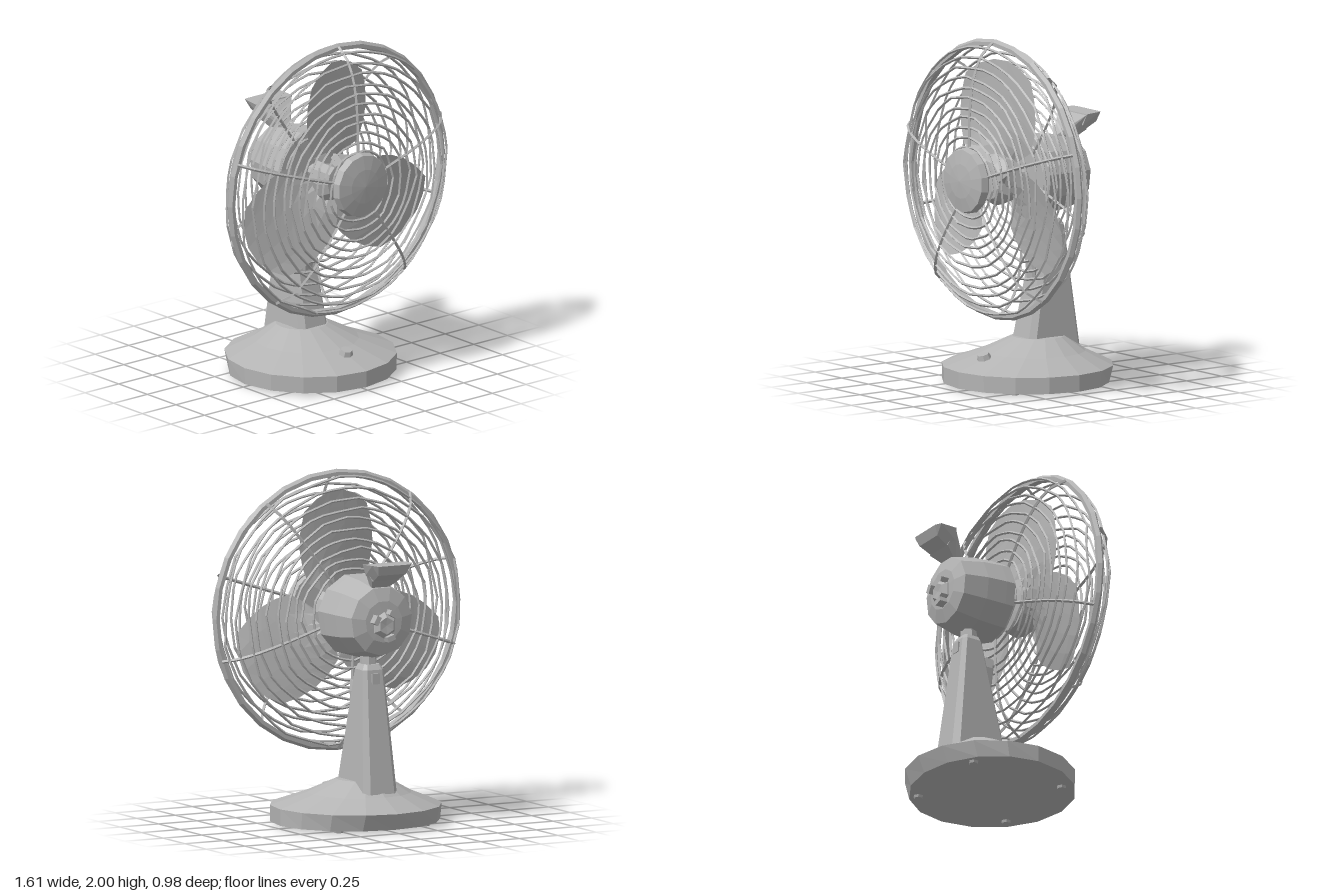
import * as THREE from 'three';
import { ConvexGeometry } from 'three/addons/geometries/ConvexGeometry.js';

const AXIS_Y = 1.19, CAGE_Z = 0.225;

export function createModel() {
  const model = new THREE.Group();
  model.name = 'deskFan';
  const grey = new THREE.MeshStandardMaterial({ color: 0xb4b4b4, flatShading: true, side: THREE.DoubleSide });
  grey.name = 'plain grey';

  let seed = 7;
  const jitter = (a) => {
    seed = (seed * 16807) % 2147483647;
    return (seed / 2147483647 - 0.5) * 2 * a;
  };
  const add = (name, geometry, x = 0, y = 0, z = 0, parent = model) => {
    const mesh = new THREE.Mesh(geometry, grey);
    mesh.name = name;
    mesh.position.set(x, y, z);
    parent.add(mesh);
    return mesh;
  };
  const lathe = (points, sides) => new THREE.LatheGeometry(points.map(([r, h]) => new THREE.Vector2(r, h)), sides);
  const latheZ = (points, sides) => lathe(points, sides).rotateX(Math.PI / 2);
  const v = (x, y, z) => new THREE.Vector3(x, y, z);

  // Convex solid through chamfered sections [y, halfWidth, zBack, zFront]
  const loft = (sections) => {
    const pts = [];
    for (const [y, w, zb, zf] of sections) {
      const c = 0.3 * w;
      for (const s of [-1, 1]) {
        pts.push(v(s * w, y, zb + c), v(s * w, y, zf - c), v(s * (w - c), y, zb), v(s * (w - c), y, zf));
      }
    }
    return new ConvexGeometry(pts);
  };

  // Base: faceted dish whose peak leans back, rim tucked under at the rear
  const base = lathe([[0, 0.015], [0.488, 0.015], [0.49, 0.11], [0.3, 0.185], [0.15, 0.265], [0, 0.27]], 16);
  const bp = base.attributes.position;
  for (let i = 0; i < bp.count; i++) {
    const y = bp.getY(i), z = bp.getZ(i);
    if (y > 0.15) bp.setZ(i, z - (y - 0.11) * 0.5);
    else if (y < 0.1 && z < 0) bp.setZ(i, z * 0.92);
  }
  add('base', base);
  for (const [x, z] of [[0.28, 0.3], [-0.28, 0.3], [0.28, -0.3], [-0.28, -0.3]]) {
    add('foot', new THREE.CylinderGeometry(0.03, 0.025, 0.018, 6), x, 0.009, z);
  }
  add('button', new THREE.CylinderGeometry(0.034, 0.044, 0.035, 7), 0, 0.18, 0.31).rotation.x = 0.3;

  // Neck, its front latch and the tilt joint
  add('neck', loft([[0.2, 0.11, -0.31, 0.06], [0.27, 0.1, -0.3, 0.045], [0.9, 0.068, -0.22, -0.09], [0.93, 0.05, -0.2, -0.1]]));
  add('neckLatch', loft([[0.59, 0.035, -0.06, -0.015], [0.76, 0.05, -0.1, 0.0], [0.82, 0.04, -0.09, 0.005]]));
  add('tiltScrew', new THREE.BoxGeometry(0.05, 0.06, 0.03), 0, 0.85, -0.22);
  add('tiltJoint', new THREE.CylinderGeometry(0.045, 0.05, 0.12, 7), 0, 0.96, -0.145);

  // Motor housing with rear knob
  add('motor', latheZ([[0, -0.33], [0.12, -0.325], [0.198, -0.3], [0.228, -0.16], [0.238, -0.04], [0.24, 0.015], [0, 0.02]], 11), 0, AXIS_Y, 0);
  add('rearKnob', latheZ([[0, -0.355], [0.05, -0.36], [0.075, -0.335], [0.08, -0.3]], 6), 0, 1.17, 0);
  for (const a of [0.5, 2.1, 4.4]) {
    add('knobGrip', new THREE.BoxGeometry(0.03, 0.05, 0.06), 0.075 * Math.cos(a), 1.17 + 0.075 * Math.sin(a), -0.345).rotation.z = a;
  }

  // Swing control: pointed stem flaring into a wide rounded head
  const stem = [v(0, 1.34, -0.18), v(0, 1.385, -0.175)], head = [];
  for (const s of [-1, 1]) {
    stem.push(v(s * 0.04, 1.36, -0.26), v(s * 0.06, 1.455, -0.245), v(s * 0.13, 1.52, -0.32), v(s * 0.09, 1.43, -0.35));
    head.push(v(s * 0.135, 1.525, -0.32), v(s * 0.13, 1.53, -0.42), v(s * 0.1, 1.525, -0.443),
      v(s * 0.09, 1.47, -0.42), v(s * 0.08, 1.43, -0.35), v(s * 0.11, 1.46, -0.31));
  }
  add('swingStem', new ConvexGeometry(stem));
  add('swingHead', new ConvexGeometry(head));

  // Three twisted blades on a hub
  const rotor = new THREE.Group();
  rotor.name = 'rotor';
  rotor.position.set(0, AXIS_Y, 0.2);
  model.add(rotor);
  add('hub', latheZ([[0, -0.08], [0.13, -0.06], [0.15, 0.03], [0.11, 0.08], [0, 0.09]], 12), 0, 0, 0, rotor);
  add('shaft', new THREE.CylinderGeometry(0.04, 0.04, 0.2, 8).rotateX(Math.PI / 2), 0, 0, -0.12, rotor);
  for (let b = 0; b < 3; b++) {
    const blade = new THREE.PlaneGeometry(1, 1, 5, 6);
    const p = blade.attributes.position;
    for (let i = 0; i < p.count; i++) {
      const u = p.getX(i) * 2, t = p.getY(i) + 0.5;
      const half = 0.1 + 0.19 * Math.sin(Math.PI * Math.min(1, 0.08 + t * 0.66));
      const r = 0.11 + 0.58 * t * (1 - 0.1 * u * u);
      const a = Math.PI / 2 + (u * half) / Math.max(r, 0.25) - 0.02;
      p.setXYZ(i, r * Math.cos(a), r * Math.sin(a), u * (0.075 - 0.02 * t) + 0.015 * u * u);
    }
    blade.computeVertexNormals();
    add('blade', blade, 0, 0, 0, rotor).rotation.z = (b * 2 * Math.PI) / 3;
  }

  // Wire cage: two flat-faced domes of uneven rings, five spokes each
  const cage = new THREE.Group();
  cage.name = 'cage';
  cage.position.set(0, AXIS_Y, CAGE_Z);
  model.add(cage);
  const dome = (r) => 0.19 * Math.pow(Math.max(0, 1 - Math.pow(r / 0.795, 4.6)), 0.6);
  const wire = (pts, radius, closed) => {
    const path = new THREE.CurvePath();
    const n = closed ? pts.length : pts.length - 1;
    for (let i = 0; i < n; i++) path.add(new THREE.LineCurve3(pts[i], pts[(i + 1) % pts.length]));
    return new THREE.TubeGeometry(path, n * 2, radius, 4, closed);
  };
  for (const side of [1, -1]) {
    const name = side > 0 ? 'front' : 'rear';
    const half = new THREE.Group();
    half.name = name + 'Grille';
    cage.add(half);
    for (let k = 0; k < 11; k++) {
      const r = 0.21 + k * 0.0555, n = 15 + k, pts = [];
      for (let i = 0; i < n; i++) {
        const a = ((i + jitter(0.2)) / n) * Math.PI * 2, rr = Math.min(0.775, r + jitter(0.012));
        pts.push(v(rr * Math.cos(a), rr * Math.sin(a), side * dome(rr) + jitter(0.006)));
      }
      add(name + 'Ring', wire(pts, 0.008, true), 0, 0, 0, half);
    }
    for (let s = 0; s < 5; s++) {
      const a = side * Math.PI / 2 + (s * 2 * Math.PI) / 5, pts = [];
      for (let i = 0; i <= 10; i++) {
        const r = 0.17 + (0.62 * i) / 10;
        pts.push(v(r * Math.cos(a), r * Math.sin(a), side * dome(r)));
      }
      add(name + 'Spoke', wire(pts, 0.0095, false), 0, 0, 0, half);
    }
  }
  add('rim', latheZ([[0.768, -0.02], [0.79, -0.02], [0.805, 0], [0.79, 0.02], [0.768, 0.02], [0.768, -0.02]], 28), 0, 0, 0, cage);

  // Round cap in the middle of the front grille
  add('frontCap', latheZ([[0.178, 0.405], [0.19, 0.42], [0.18, 0.46], [0.1, 0.476], [0, 0.484]], 14), 0, 1.205, 0);
  add('frontCapBack', new THREE.CircleGeometry(0.178, 14).rotateY(Math.PI), 0, 1.205, 0.406);

  return model;
}
